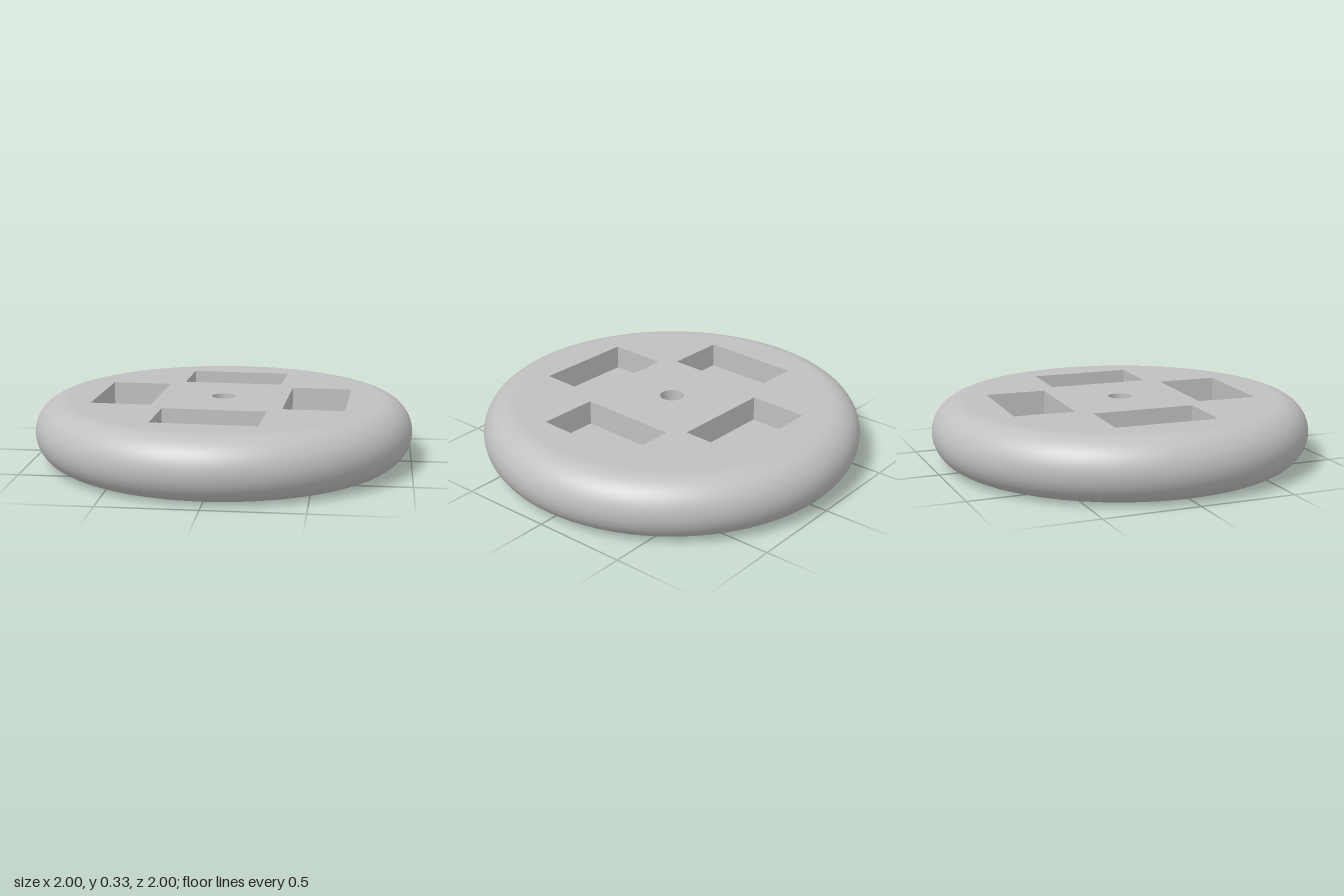
import * as THREE from 'three';

const HEIGHT = 0.33;
const EDGE = HEIGHT / 2;      // radius of the fully rounded rim
const FLAT = 1 - EDGE;        // radius of the flat faces
const BORE = 0.063;
const SEGMENTS = 128;
const POCKET = { length: 0.54, width: 0.32, depth: 0.13, offset: 0.502 };

const grey = new THREE.MeshStandardMaterial({ color: 0xc0c0c0 });
grey.name = 'grey';

function addMesh(parent, name, geometry) {
  const mesh = new THREE.Mesh(geometry, grey);
  mesh.name = name;
  parent.add(mesh);
  return mesh;
}

function circlePoints(radius) {
  return Array.from({ length: SEGMENTS }, (_, i) => {
    const a = (i / SEGMENTS) * Math.PI * 2;
    return new THREE.Vector2(radius * Math.cos(a), radius * Math.sin(a));
  });
}

// Flat face pierced by the bore and the four pocket openings
function faceGeometry() {
  const shape = new THREE.Shape(circlePoints(FLAT));
  shape.holes.push(new THREE.Path(circlePoints(BORE)));
  const { length, width, offset } = POCKET;
  for (let i = 0; i < 4; i++) {
    const corners = [[-1, -1], [-1, 1], [1, 1], [1, -1]].map(([u, v]) =>
      new THREE.Vector2(u * length / 2, offset + v * width / 2)
        .rotateAround(new THREE.Vector2(), i * Math.PI / 2));
    shape.holes.push(new THREE.Path(corners));
  }
  return new THREE.ShapeGeometry(shape);
}

// Inward-facing box without its upper face
function pocketGeometry() {
  const geometry = new THREE.BoxGeometry(POCKET.length, POCKET.depth, POCKET.width);
  const index = Array.from(geometry.index.array);
  index.splice(12, 6);
  geometry.setIndex(index);
  geometry.clearGroups();
  geometry.scale(-1, 1, 1);
  geometry.computeVertexNormals();
  return geometry;
}

export function createModel() {
  const wheel = new THREE.Group();
  wheel.name = 'wheel';
  wheel.rotation.y = -0.037;

  // Rounded rim
  const profile = Array.from({ length: 33 }, (_, i) => {
    const a = -Math.PI / 2 + (i / 32) * Math.PI;
    return new THREE.Vector2(FLAT + EDGE * Math.cos(a), EDGE + EDGE * Math.sin(a));
  });
  addMesh(wheel, 'rim', new THREE.LatheGeometry(profile, SEGMENTS));

  // Centre bore, facing inward
  addMesh(wheel, 'bore', new THREE.LatheGeometry(
    [new THREE.Vector2(BORE, HEIGHT), new THREE.Vector2(BORE, 0)], SEGMENTS));

  // Top and bottom faces
  const top = addMesh(wheel, 'topFace', faceGeometry().rotateX(-Math.PI / 2));
  top.position.y = HEIGHT;
  addMesh(wheel, 'bottomFace', faceGeometry().rotateX(Math.PI / 2));

  // Four blind pockets on each side
  const pocket = pocketGeometry();
  for (let i = 0; i < 4; i++) {
    const pair = new THREE.Group();
    pair.name = 'pocketPair';
    pair.rotation.y = i * Math.PI / 2;
    addMesh(pair, 'topPocket', pocket)
      .position.set(0, HEIGHT - POCKET.depth / 2, POCKET.offset);
    const lower = addMesh(pair, 'bottomPocket', pocket);
    lower.position.set(0, POCKET.depth / 2, POCKET.offset);
    lower.rotation.x = Math.PI;
    wheel.add(pair);
  }

  const model = new THREE.Group();
  model.name = 'model';
  model.add(wheel);
  return model;
}
